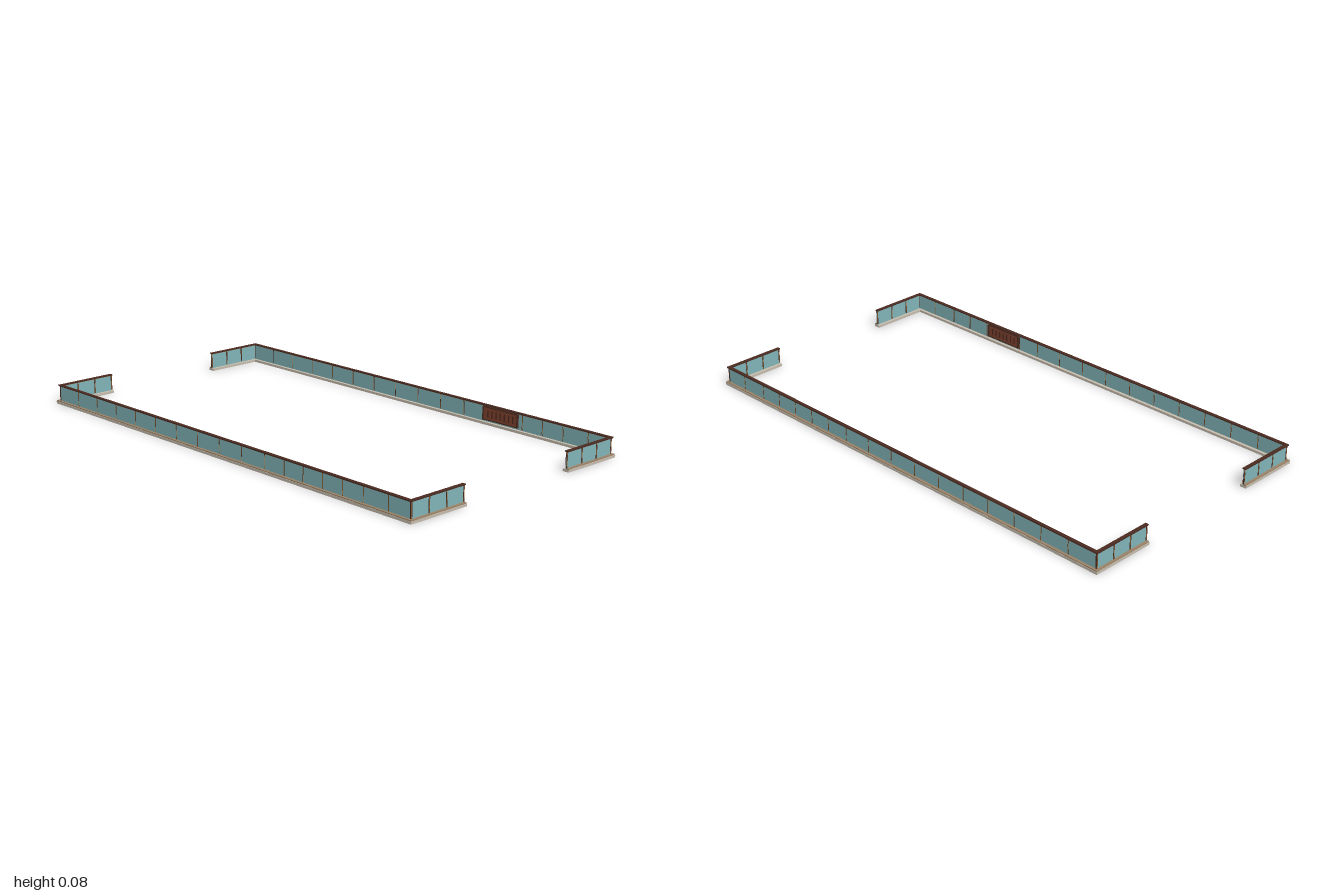
import * as THREE from 'three';

const paint = (name, color) => {
  const m = new THREE.MeshStandardMaterial({ color });
  m.name = name;
  return m;
};

export function createModel() {
  const stone = paint('light stone', 0xc9bfb0);
  const sand = paint('tan trim', 0x9c8468);
  const glass = paint('teal glass', 0x84b7bb);
  const wood = paint('dark brown', 0x4c2b21);
  const gold = paint('gold trim', 0xa87c44);
  const red = paint('red brown', 0x84442f);

  const X = 0.52, Z = 0.986;   // wall centre lines
  const INNER = 0.267;         // open end of the short walls

  const box = (parent, name, mat, w, h, d, x, y, z) => {
    const mesh = new THREE.Mesh(new THREE.BoxGeometry(w, h, d), mat);
    mesh.name = name;
    mesh.position.set(x, y, z);
    parent.add(mesh);
  };

  // One straight railing along its local x, from a to b; out is the outer side in local z
  const railing = (name, a, b, extendA, extendB, out, posts, postWidth) => {
    const g = new THREE.Group();
    g.name = name;
    const strip = (part, mat, width, y0, y1, shift = 0) => {
      const reach = width / 2 + shift;
      const s = a - (extendA ? reach : 0), e = b + (extendB ? reach : 0);
      box(g, part, mat, e - s, y1 - y0, width, (s + e) / 2, (y0 + y1) / 2, out * shift);
    };
    strip('baseSlab', stone, 0.027, 0, 0.010);
    strip('baseTrim', sand, 0.012, 0.010, 0.0135, 0.006);
    strip('glassPanel', glass, 0.003, 0.010, 0.072);
    strip('railTrim', gold, 0.006, 0.0715, 0.0735);
    strip('handrail', wood, 0.014, 0.0735, 0.078);
    for (const p of posts) {
      box(g, 'post', wood, postWidth, 0.059, 0.005, p, 0.0425, 0);
      box(g, 'postStrip', gold, 0.002, 0.059, 0.006, p, 0.0425, 0);
    }
    return g;
  };

  // Post positions along the long sides, by z
  const sidePosts = [0.885, 0.767];
  for (let i = 0; i < 4; i++) sidePosts.push(0.668 - i * 0.0985);
  for (let i = 0; i < 10; i++) sidePosts.push(0.27 - i * 0.1256);

  const model = new THREE.Group();
  model.name = 'railings';
  for (const s of [1, -1]) {
    const label = s > 0 ? 'left' : 'right';

    // Long side; local x runs along -z
    const side = railing(label + 'SideRailing', -Z, Z, true, true, s, sidePosts.map((z) => -z), 0.0035);
    side.rotation.y = Math.PI / 2;
    side.position.x = s * X;
    model.add(side);

    // Short returns at front and back
    const endPosts = [0, 1, 2, 3].map((i) => s * (X - i * (X - INNER - 0.003) / 3));
    for (const f of [1, -1]) {
      const end = railing(label + (f > 0 ? 'Front' : 'Back') + 'Railing',
        s > 0 ? INNER : -X, s > 0 ? X : -INNER, s < 0, s > 0, f, endPosts, 0.006);
      end.position.z = f * Z;
      model.add(end);
    }

    // Slatted board hung on the inner face, with a stile at each end
    const board = new THREE.Group();
    board.name = label + 'Board';
    box(board, 'boardFace', red, 0.003, 0.05, 0.17, s * 0.515, 0.044, 0.463);
    for (const y of [0.0185, 0.0695]) box(board, 'boardEdge', wood, 0.005, 0.004, 0.17, s * 0.515, y, 0.463);
    for (const d of [-1, 1]) box(board, 'boardStile', wood, 0.008, 0.054, 0.005, s * 0.513, 0.044, 0.463 + d * 0.0865);
    for (let i = -3; i <= 3; i++) box(board, 'boardSlat', wood, 0.002, 0.028, 0.006, s * 0.513, 0.044, 0.463 + i * 0.021);
    model.add(board);
  }
  return model;
}
